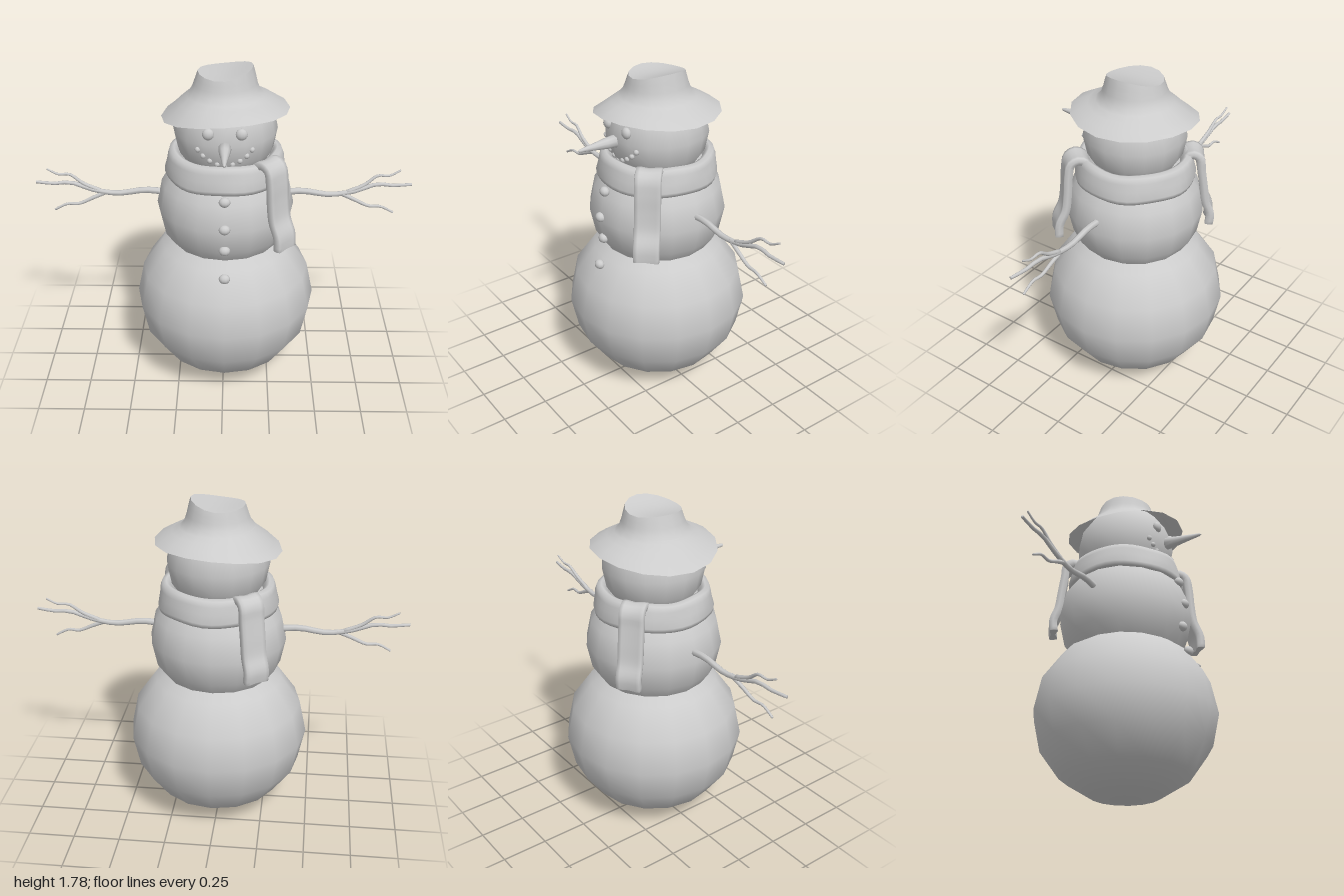
import * as THREE from 'three';
import { mergeVertices } from 'three/addons/utils/BufferGeometryUtils.js';

const CX = 0.01; // body axis
const grey = new THREE.MeshStandardMaterial({ color: 0xcccccc });
const thin = new THREE.MeshStandardMaterial({ color: 0xcccccc, side: THREE.DoubleSide });
const V2 = (p) => new THREE.Vector2(p[0], p[1]);
const V3 = (p) => new THREE.Vector3(p[0], p[1], p[2] || 0);

function add(parent, name, geometry, position = [0, 0, 0], material = grey) {
  const mesh = new THREE.Mesh(geometry, material);
  mesh.name = name;
  mesh.position.set(...position);
  parent.add(mesh);
  return mesh;
}

// Ellipsoid with a vertical pole axis
function ball(parent, name, position, rx, ry, rz = rx, w = 16, h = 8) {
  return add(parent, name, new THREE.SphereGeometry(1, w, h).scale(rx, ry, rz), position);
}

// Lathe whose vertices are moved by a rule, welded for smooth normals
function warpedLathe(profile, segments, rule) {
  const g = new THREE.LatheGeometry(profile.map(V2), segments);
  g.deleteAttribute('uv');
  g.deleteAttribute('normal');
  const welded = mergeVertices(g, 1e-4);
  const p = welded.attributes.position, v = new THREE.Vector3();
  for (let i = 0; i < p.count; i++) {
    rule(v.fromBufferAttribute(p, i));
    p.setXYZ(i, v.x, v.y, v.z);
  }
  welded.computeVertexNormals();
  return welded;
}

// Skin over a list of equal-length point rings
function loft(rings) {
  const n = rings[0].length, index = [];
  for (let i = 0; i < rings.length - 1; i++) {
    for (let j = 0; j < n; j++) {
      const a = i * n + j, b = i * n + (j + 1) % n;
      index.push(a, b, b + n, a, b + n, a + n);
    }
  }
  const g = new THREE.BufferGeometry().setFromPoints(rings.flat());
  g.setIndex(index);
  g.computeVertexNormals();
  return g;
}

// Tapered tube that runs along a curve, for arms and twigs
function branch(points, r0, r1) {
  const steps = 14, sides = 7;
  const curve = new THREE.CatmullRomCurve3(points.map(V3));
  const frames = curve.computeFrenetFrames(steps);
  const ring = (i, scale) => {
    const r = THREE.MathUtils.lerp(r0, r1, i / steps) * scale, c = curve.getPointAt(i / steps);
    return Array.from({ length: sides }, (_, j) => {
      const a = (j / sides) * Math.PI * 2;
      return c.clone().addScaledVector(frames.normals[i], Math.cos(a) * r)
        .addScaledVector(frames.binormals[i], Math.sin(a) * r);
    });
  };
  const rings = [];
  for (let i = 0; i <= steps; i++) rings.push(ring(i, 1));
  return loft([ring(0, 0), ...rings, ring(steps, 0)]);
}

// Hanging scarf strip: path in (radius, height), thick rims and a hollow middle
function scarfTail(path, halfWidth) {
  const section = [[1, 0], [0.92, 0.022], [0.65, 0.024], [0, 0.012], [-0.65, 0.024], [-0.92, 0.022],
    [-1, 0], [-0.92, -0.02], [-0.65, -0.02], [0, -0.014], [0.65, -0.02], [0.92, -0.02]];
  const curve = new THREE.CatmullRomCurve3(path.map(V3)), steps = 28;
  const ring = (t, scale) => {
    const c = curve.getPointAt(t), d = curve.getTangentAt(t);
    return section.map(([w, n]) => new THREE.Vector3(
      c.x + d.y * n * scale, c.y - d.x * n * scale, w * halfWidth * scale));
  };
  const rings = [];
  for (let i = 0; i <= steps; i++) rings.push(ring(i / steps, 1));
  return loft([ring(0, 0), ...rings, ring(1, 0.9), ring(1, 0)]);
}

export function createModel() {
  const model = new THREE.Group();
  model.name = 'snowman';

  // Three snowballs
  ball(model, 'lowerBody', [CX, 0.46, 0], 0.49, 0.46);
  ball(model, 'middleBody', [CX, 1.02, 0], 0.365, 0.345);
  ball(model, 'head', [CX, 1.45, 0], 0.27, 0.27);

  // Buttons down the front
  [[1.18, 0.33], [1.04, 0.36], [0.91, 0.345], [0.76, 0.375]].forEach(([y, z]) =>
    ball(model, 'button', [CX, y, z], 0.03, 0.026, 0.025, 10, 8));

  // Face
  const face = new THREE.Group();
  face.name = 'face';
  model.add(face);
  for (const s of [-1, 1]) ball(face, 'eye', [CX + s * 0.082, 1.51, 0.245], 0.03, 0.03, 0.022, 12, 8);
  const mouth = [[0, 1.34], [0.038, 1.347], [0.075, 1.365], [0.108, 1.39], [0.135, 1.42]];
  for (const [x, y] of mouth) {
    const z = Math.sqrt(0.262 ** 2 - x * x - (y - 1.45) ** 2);
    for (const s of x ? [-1, 1] : [1]) ball(face, 'mouthPebble', [CX + s * x, y, z], 0.015, 0.015, 0.015, 8, 6);
  }
  const nose = new THREE.LatheGeometry(
    [[0, -0.02], [0.034, 0], [0.028, 0.06], [0.018, 0.13], [0.008, 0.21], [0, 0.22]].map(V2), 10);
  add(face, 'carrotNose', nose.rotateX(Math.PI / 2), [CX, 1.443, 0.255]);

  // Floppy hat: brim height varies around the rim, crown top dips and leans
  const hat = new THREE.Group();
  hat.name = 'hat';
  hat.position.x = CX;
  model.add(hat);
  const hatRule = (v) => {
    const r = Math.hypot(v.x, v.z) || 1, cx = v.x / r, cz = v.z / r;
    const brim = THREE.MathUtils.smoothstep(r, 0.17, 0.33);
    const top = THREE.MathUtils.smoothstep(v.y, 1.67, 1.75);
    v.y += brim * (0.025 * cx + 0.01 * cz + 0.016 * (cz * cz - cx * cx));
    v.y += top * (0.1 * v.x + 1.1 * v.x * v.x - 0.005);
    v.x *= 1 - 0.04 * top;
  };
  const crown = [[0.33, 1.552], [0.285, 1.582], [0.24, 1.61], [0.2, 1.633], [0.175, 1.66],
    [0.163, 1.69], [0.155, 1.72], [0.146, 1.75]];
  add(hat, 'hatBrimAndCrown', warpedLathe(crown, 16, hatRule), [0, 0, 0], thin);
  add(hat, 'hatTop', warpedLathe([[0.146, 1.75], [0.1, 1.75], [0.05, 1.75], [0, 1.75]], 16, hatRule), [0, 0, 0], thin);

  // Scarf wrapped around the neck
  const scarf = new THREE.Group();
  scarf.name = 'scarf';
  scarf.position.x = CX;
  model.add(scarf);
  const band = [[0.23, 1.22], [0.285, 1.2], [0.312, 1.202], [0.318, 1.225], [0.308, 1.27], [0.302, 1.31],
    [0.292, 1.338], [0.27, 1.345], [0.25, 1.335], [0.235, 1.29]];
  add(scarf, 'scarfBand', warpedLathe(band, 40, (v) => {
    const a = Math.atan2(v.z, v.x);
    const k = 1 + 0.008 * Math.sin(7 * a + v.y * 30);
    v.set(v.x * k, v.y + 0.004 * Math.sin(5 * a), v.z * k);
  }), [0, 0, 0], thin);

  // Two hanging ends, front left and back right
  const front = add(scarf, 'scarfFrontEnd', scarfTail([[0.25, 1.27], [0.262, 1.32], [0.3, 1.345],
    [0.345, 1.325], [0.362, 1.25], [0.37, 1.15], [0.385, 1.05], [0.42, 0.97], [0.425, 0.9]], 0.068));
  front.rotation.y = -Math.atan2(0.29, 0.31);
  const back = add(scarf, 'scarfBackEnd', scarfTail([[0.25, 1.27], [0.262, 1.32], [0.295, 1.343],
    [0.335, 1.32], [0.345, 1.25], [0.36, 1.15], [0.375, 1.05], [0.4, 0.98], [0.395, 0.92]], 0.068));
  back.rotation.y = -Math.atan2(-0.3, -0.21);

  // Stick arms with two twigs each
  for (const s of [-1, 1]) {
    const arm = new THREE.Group();
    arm.name = s > 0 ? 'leftArm' : 'rightArm';
    model.add(arm);
    const side = (pts) => pts.map(([x, y, z]) => [s * x, y, s > 0 ? z : 0.6 * z]);
    add(arm, 'branch', branch(side([[0.3, 1.075, 0], [0.42, 1.085, 0], [0.57, 1.065, 0], [0.7, 1.085, 0],
      [0.82, 1.125, -0.005], [0.9, 1.12, 0], [1, 1.13, 0.005]]), 0.019, 0.008));
    add(arm, 'upperTwig', branch(side([[0.66, 1.08, 0], [0.75, 1.12, -0.005], [0.82, 1.17, -0.015],
      [0.88, 1.17, -0.015], [0.94, 1.2, -0.02]]), 0.012, 0.005));
    add(arm, 'lowerTwig', branch(side([[0.62, 1.075, 0], [0.7, 1.04, 0.01], [0.78, 1.005, 0.015],
      [0.84, 1.005, 0.02], [0.91, 0.97, 0.02]]), 0.012, 0.006));
  }
  return model;
}
